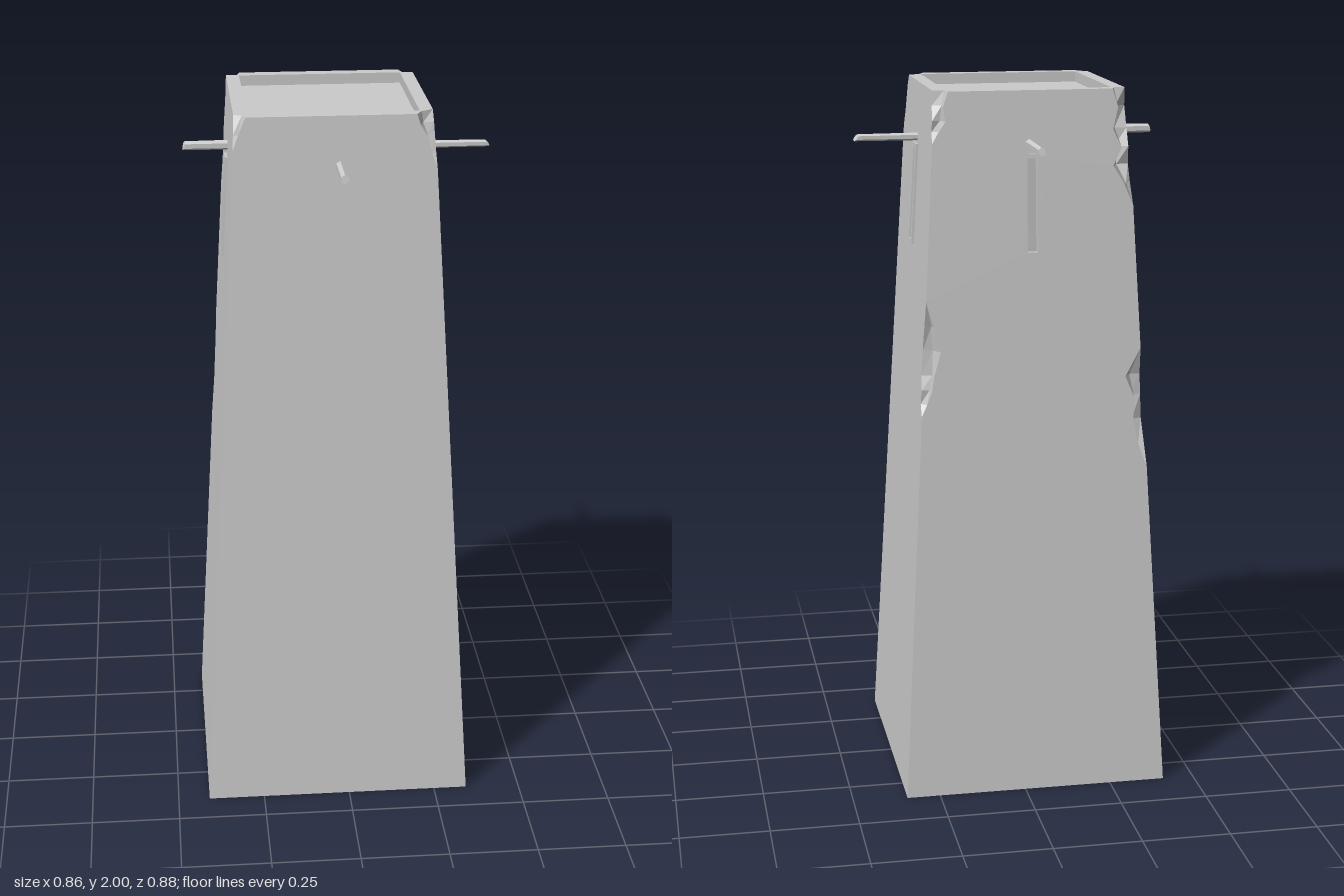
import * as THREE from 'three';

const H = 2, BASE = 0.3775, TOP = 0.267;
const SLOPE = (BASE - TOP) / H;
const half = (y) => BASE - SLOPE * y;
const WIN = { y0: 1.545, y1: 1.83, w: 0.056, border: 0.0135 };

// Broken spots per corner, bottom to top. Row: [height, bite on this wall, inset of the middle, bite on the next wall]
const CHIPS = [
  [ // front right
    [[1.85, 0, 0, 0], [1.89, 0.012, 0.014, 0.018], [1.94, 0.022, 0.024, 0.03], [1.97, 0.04, 0.03, 0.036], [2, 0.048, 0.032, 0.052]],
  ],
  [ // back right
    [[1.11, 0, 0, 0], [1.14, 0.03, 0.018, 0.012], [1.18, 0.022, 0.022, 0.026], [1.22, 0.034, 0.03, 0.03],
      [1.29, 0.03, 0.028, 0.046], [1.36, 0.016, 0.02, 0.024], [1.43, 0, 0, 0]],
    [[1.86, 0, 0, 0], [1.89, 0.022, 0.018, 0.016], [1.92, 0.016, 0.022, 0.034], [1.96, 0.034, 0.026, 0.026], [2, 0.034, 0.031, 0.038]],
  ],
  [ // back left
    [[0.94, 0, 0, 0], [1.0, 0.02, 0.018, 0.02], [1.07, 0.032, 0.03, 0.044], [1.14, 0.026, 0.034, 0.036],
      [1.2, 0.048, 0.03, 0.03], [1.28, 0, 0, 0]],
    [[1.68, 0, 0, 0], [1.74, 0.022, 0.014, 0.026], [1.79, 0.05, 0.034, 0.04], [1.84, 0.024, 0.036, 0.022],
      [1.89, 0.045, 0.034, 0.034], [1.95, 0.028, 0.03, 0.046], [2, 0.04, 0.031, 0.03]],
  ],
  [ // front left
    [[1.91, 0, 0, 0], [1.95, 0.014, 0.014, 0.012], [2, 0.034, 0.022, 0.03]],
  ],
];

const stone = new THREE.MeshStandardMaterial({ color: 0xcccccc, flatShading: true });
const shell = new THREE.MeshStandardMaterial({ color: 0xcccccc, flatShading: true, side: THREE.DoubleSide });

function addMesh(parent, name, geometry, material = stone) {
  const mesh = new THREE.Mesh(geometry, material);
  mesh.name = name;
  parent.add(mesh);
  return mesh;
}

function rectPath(x0, y0, x1, y1, PathType = THREE.Path) {
  return new PathType([[x0, y0], [x1, y0], [x1, y1], [x0, y1]].map(([x, y]) => new THREE.Vector2(x, y)));
}

// Sloping wall with ragged sides and an optional window opening
function wallGeometry(k, hasWindow) {
  const right = CHIPS[k].flat().map(([y, a]) => new THREE.Vector2(half(y) - a, y));
  const left = CHIPS[(k + 3) % 4].flat().map(([y, , , b]) => new THREE.Vector2(b - half(y), y));
  const shape = new THREE.Shape([
    new THREE.Vector2(-BASE, 0), new THREE.Vector2(BASE, 0), ...right, ...left.reverse(),
  ]);
  if (hasWindow) {
    const w = WIN.w / 2 - WIN.border;
    shape.holes.push(rectPath(-w, WIN.y0 + WIN.border, w, WIN.y1 - WIN.border));
  }
  const geo = new THREE.ShapeGeometry(shape);
  const p = geo.attributes.position;
  for (let i = 0; i < p.count; i++) p.setZ(i, half(p.getY(i)));
  geo.computeVertexNormals();
  return geo;
}

// Broken surface between two walls: wall edge, inset middle, next wall edge
function chipGeometry(rows) {
  const points = rows.map(([y, a, c, b]) => {
    const h = half(y);
    return [[h - a, y, h], [h - c, y, h - c], [h, y, h - b]];
  });
  const out = [];
  for (let i = 0; i < points.length - 1; i++) {
    for (let j = 0; j < 2; j++) {
      const [p, q] = [points[i], points[i + 1]];
      out.push(...p[j], ...p[j + 1], ...q[j + 1], ...p[j], ...q[j + 1], ...q[j]);
    }
  }
  const geo = new THREE.BufferGeometry();
  geo.setAttribute('position', new THREE.Float32BufferAttribute(out, 3));
  geo.computeVertexNormals();
  return geo;
}

// Flat top rim that follows the broken corners
function rimGeometry(inner) {
  const outline = [];
  CHIPS.forEach((chips, k) => {
    const [, a, c, b] = chips.at(-1).at(-1);
    [[TOP - a, TOP], [TOP - c, TOP - c], [TOP, TOP - b]].forEach(([x, z]) => {
      for (let i = 0; i < k; i++) [x, z] = [z, -x];
      outline.push(new THREE.Vector2(x, -z));
    });
  });
  const shape = new THREE.Shape(outline);
  shape.holes.push(rectPath(-inner, -inner, inner, inner));
  return new THREE.ShapeGeometry(shape).rotateX(-Math.PI / 2).translate(0, H, 0);
}

function frameGeometry() {
  const w = WIN.w / 2, h = (WIN.y1 - WIN.y0) / 2, b = WIN.border;
  const shape = rectPath(-w, -h, w, h, THREE.Shape);
  shape.holes.push(rectPath(b - w, b - h, w - b, h - b));
  return new THREE.ExtrudeGeometry(shape, { depth: 0.028, bevelEnabled: false })
    .translate(0, 0, -0.02)
    .rotateX(-Math.atan(SLOPE))
    .translate(0, (WIN.y0 + WIN.y1) / 2, half((WIN.y0 + WIN.y1) / 2));
}

// Wooden pole with a slanted, snapped end
function poleGeometry({ x, y, reach, r, slant }) {
  const start = 0.24;
  const geo = new THREE.CylinderGeometry(r * 0.9, r, reach - start, 6);
  geo.rotateX(Math.PI / 2).translate(x, y, (reach + start) / 2);
  const p = geo.attributes.position;
  for (let i = 0; i < p.count; i++) {
    if (p.getZ(i) < reach - 0.001) continue;
    const t = ((p.getX(i) - x) * 0.6 + (p.getY(i) - y) * 0.8) / r;
    p.setZ(i, reach - slant * (1 + t) / 2);
  }
  geo.computeVertexNormals();
  return geo;
}

export function createModel() {
  const tower = new THREE.Group();
  tower.name = 'tower';
  const inner = 0.23, depth = 0.03;
  const sides = [
    { name: 'front', window: false, pole: { x: 0.014, y: 1.866, reach: 0.418, r: 0.013, slant: 0.012 } },
    { name: 'right', window: true, pole: { x: 0, y: 1.848, reach: 0.458, r: 0.011, slant: 0.016 } },
    { name: 'back', window: true, pole: { x: -0.007, y: 1.856, reach: 0.463, r: 0.0125, slant: 0.022 } },
    { name: 'left', window: true, pole: { x: -0.004, y: 1.858, reach: 0.4, r: 0.014, slant: 0.008 } },
  ];

  sides.forEach((side, k) => {
    const group = new THREE.Group();
    group.name = `${side.name}Side`;
    group.rotation.y = k * Math.PI / 2;
    addMesh(group, 'wall', wallGeometry(k, side.window), shell);
    CHIPS[k].forEach((rows) => addMesh(group, 'brokenCorner', chipGeometry(rows), shell));
    if (side.window) addMesh(group, 'windowFrame', frameGeometry());
    addMesh(group, 'pole', poleGeometry(side.pole));
    // inner face of the parapet
    addMesh(group, 'parapetInside', new THREE.PlaneGeometry(inner * 2, depth)
      .rotateY(Math.PI).translate(0, H - depth / 2, inner));
    tower.add(group);
  });

  // Rim, sunken roof and underside
  addMesh(tower, 'rim', rimGeometry(inner), shell);
  addMesh(tower, 'roof', new THREE.PlaneGeometry(inner * 2, inner * 2)
    .rotateX(-Math.PI / 2).translate(0, H - depth, 0), shell);
  addMesh(tower, 'underside', new THREE.PlaneGeometry(BASE * 2, BASE * 2).rotateX(Math.PI / 2), shell);

  tower.position.set(-0.0325, 0, 0.0225);
  const model = new THREE.Group();
  model.name = 'watchtower';
  model.add(tower);
  return model;
}
